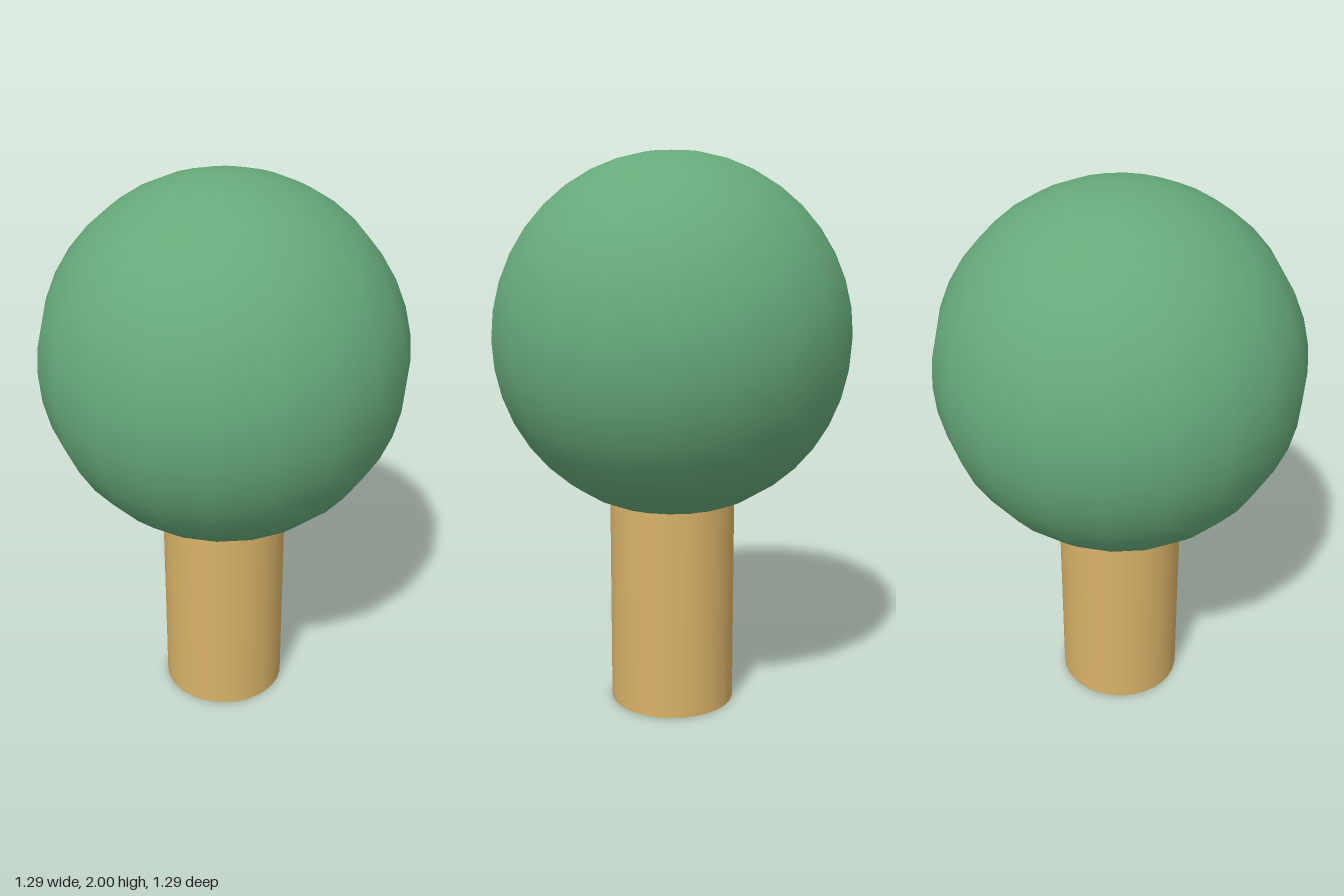
import * as THREE from 'three';

export function createModel() {
  const model = new THREE.Group();
  model.name = 'tree';

  const addPart = (name, geometry, color, y) => {
    const mesh = new THREE.Mesh(geometry, new THREE.MeshStandardMaterial({ color }));
    mesh.name = name;
    mesh.position.y = y;
    model.add(mesh);
  };

  // Straight round trunk, running a little way into the crown
  const trunkHeight = 0.86;
  addPart('trunk', new THREE.CylinderGeometry(0.228, 0.228, trunkHeight, 32), 0xd9b368, trunkHeight / 2);

  // Ball-shaped crown
  const crownRadius = 0.643;
  addPart('crown', new THREE.SphereGeometry(crownRadius, 20, 20), 0x66aa7a, 2 - crownRadius);

  return model;
}
